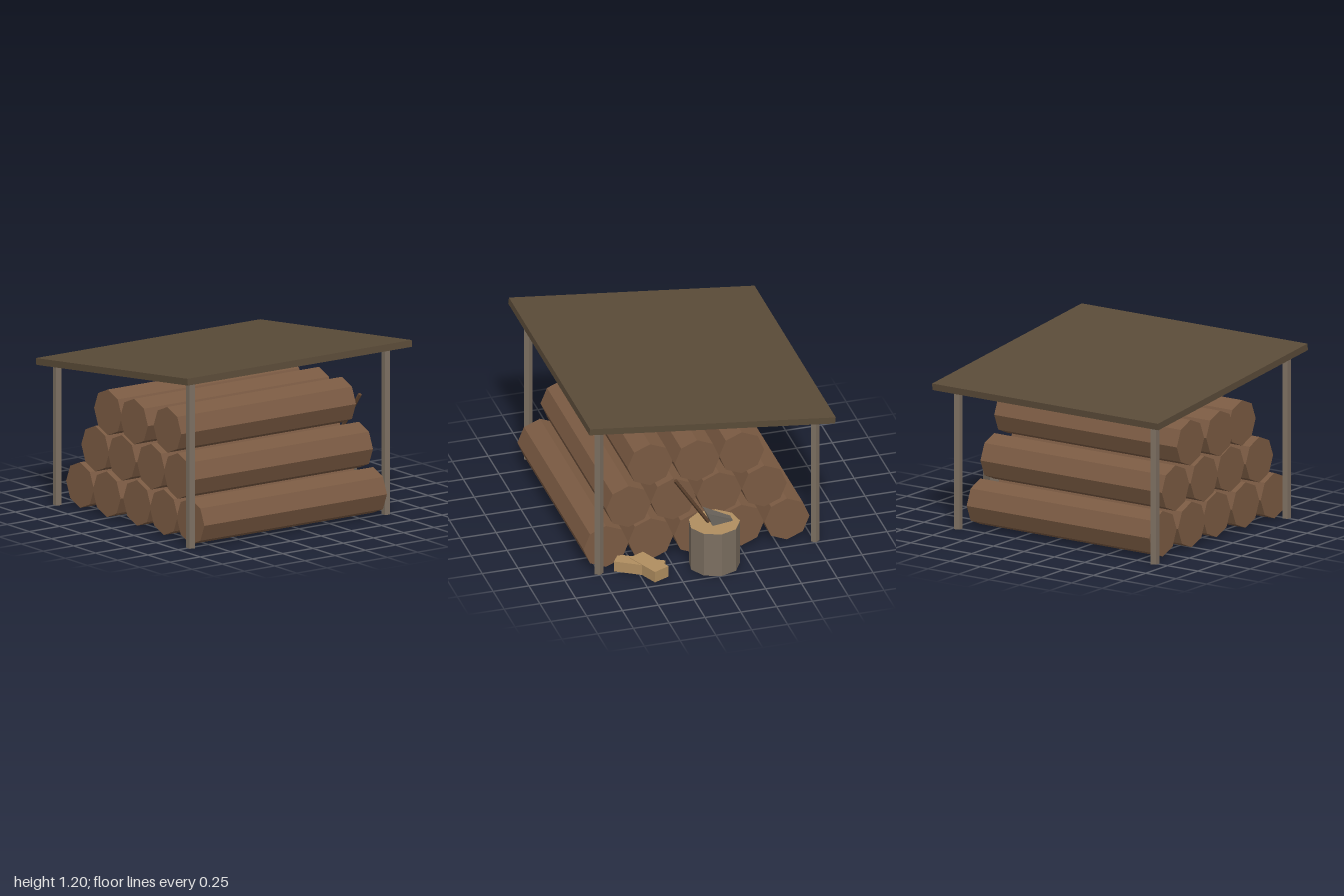
import * as THREE from 'three';

const material = (name, color) => {
  const m = new THREE.MeshStandardMaterial({ color, flatShading: true });
  m.name = name;
  return m;
};

export function createModel() {
  const group = new THREE.Group();
  const roofWood = material('roof wood', 0x5a4b38);
  const logBark = material('log bark', 0x7a5a42);
  const greyWood = material('weathered wood', 0x7b6e60);
  const cutWood = material('cut wood', 0xb08e60);
  const handleWood = material('handle wood', 0x5e432f);
  const steel = material('steel', 0x6b655d);

  const add = (name, geometry, mat, x = 0, y = 0, z = 0) => {
    const mesh = new THREE.Mesh(geometry, mat);
    mesh.name = name;
    mesh.position.set(x, y, z);
    group.add(mesh);
    return mesh;
  };

  // Sloping roof, higher at the front
  add('roof', new THREE.BoxGeometry(1.855, 0.046, 1.726), roofWood, -0.0725, 1.075, 0).rotation.x = -0.113;

  // Five-sided posts, one corner towards +x
  for (const x of [-0.897, 0.718]) {
    for (const [z, h] of [[0.755, 1.14], [-0.755, 0.97]]) {
      const post = new THREE.CylinderGeometry(0.032, 0.032, h, 5).rotateY(Math.PI / 2);
      add('post', post, greyWood, x, h / 2, z);
    }
  }

  // Stacked logs: each row is [height, first z, [[left end, right end], ...]]
  const rows = [
    [0.16, 0.685, [[-0.85, 0.66], [-0.84, 0.65], [-0.83, 0.66], [-0.85, 0.65], [-0.84, 0.66]]],
    [0.44, 0.527, [[-0.84, 0.66], [-0.83, 0.65], [-0.84, 0.66], [-0.83, 0.66]]],
    [0.722, 0.369, [[-0.81, 0.635], [-0.855, 0.675], [-0.84, 0.66]]],
  ];
  for (const [y, z0, ends] of rows) {
    ends.forEach(([a, b], i) => {
      const log = new THREE.CylinderGeometry(0.157, 0.157, b - a, 8).rotateZ(Math.PI / 2);
      add('log', log, logBark, (a + b) / 2, y, z0 - i * 0.316);
    });
  }

  // Chopping block with a pale cut top
  const stump = new THREE.CylinderGeometry(0.174, 0.174, 0.32, 9).rotateY(Math.PI / 2);
  add('choppingBlock', stump, [greyWood, cutWood, greyWood], 0.826, 0.16, -0.02);

  // Axe handle, leaning out of the block
  const foot = new THREE.Vector3(0.822, 0.33, 0.02);
  const tip = new THREE.Vector3(0.862, 0.705, 0.262);
  const along = tip.clone().sub(foot);
  const middle = foot.clone().add(tip).multiplyScalar(0.5);
  const handle = add('axeHandle', new THREE.CylinderGeometry(0.014, 0.014, along.length(), 5), handleWood,
    middle.x, middle.y, middle.z);
  handle.quaternion.setFromUnitVectors(new THREE.Vector3(0, 1, 0), along.normalize());

  // Axe head: a wedge narrowing towards the back
  const profile = [[-0.045, 0.42], [0.0, 0.31], [0.14, 0.315], [0.14, 0.335]];
  const wedge = new THREE.Shape(profile.map(([u, v]) => new THREE.Vector2(u, v)));
  const head = new THREE.ExtrudeGeometry(wedge, { depth: 0.1, bevelEnabled: false });
  head.translate(0, 0, -0.05).rotateY(Math.PI / 2);
  const p = head.attributes.position;
  for (let i = 0; i < p.count; i++) if (p.getZ(i) < -0.1) p.setX(i, p.getX(i) * 0.5);
  head.computeVertexNormals();
  add('axeHead', head, steel, 0.822, 0, 0);

  // Split firewood lying crossed by the block
  add('splitWood', new THREE.BoxGeometry(0.26, 0.08, 0.12), cutWood, 0.808, 0.04, 0.43).rotation.y = 0.42;
  add('splitWood', new THREE.BoxGeometry(0.33, 0.076, 0.1), cutWood, 0.773, 0.038, 0.483).rotation.y = 1.02;

  return group;
}
